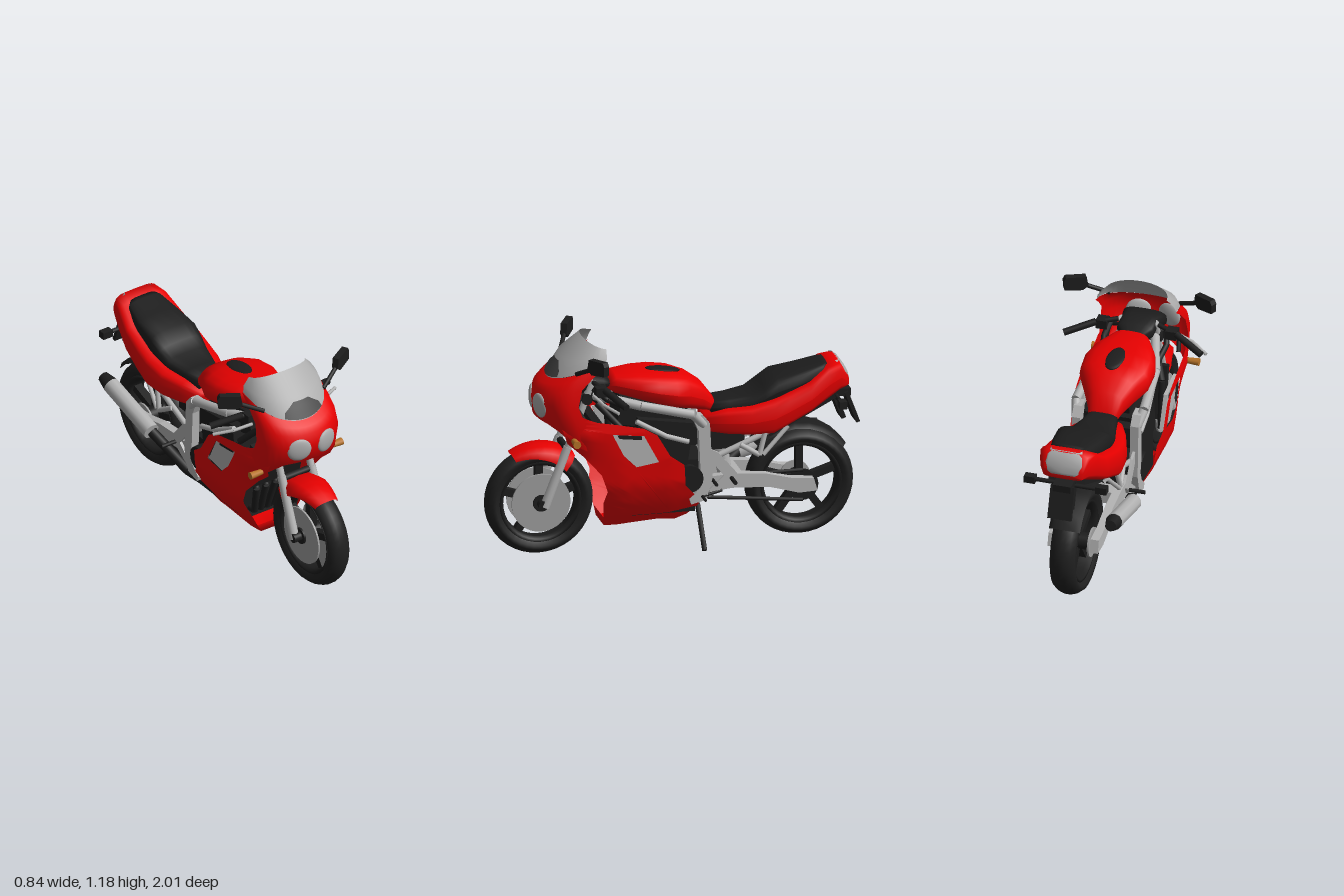
import * as THREE from 'three';
import { mergeVertices } from 'three/addons/utils/BufferGeometryUtils.js';

const mat = (name, color) => Object.assign(new THREE.MeshStandardMaterial({ color, side: THREE.DoubleSide }), { name });
const red = mat('red paint', 0xe60000), black = mat('black plastic', 0x1d1d1d), rubber = mat('tyre rubber', 0x202020);
const silver = mat('silver metal', 0xb4b4b4), glass = mat('screen grey', 0xacacac), steel = mat('disc steel', 0xa0a0a0);
const amber = mat('amber lens', 0xb87428), smoke = mat('smoked grey', 0x484848), lamp = mat('lamp glass', 0xacacac);

const V = (p) => new THREE.Vector3(...p);
const lerpTable = (t, v) => {
  for (let i = 1; i < t.length; i++) if (v <= t[i][0]) {
    const k = Math.max(0, (v - t[i - 1][0]) / (t[i][0] - t[i - 1][0]));
    return t[i - 1][1] + k * (t[i][1] - t[i - 1][1]);
  }
  return t[t.length - 1][1];
};

export function createModel() {
  const model = new THREE.Group();
  const add = (name, geo, material, pos = [0, 0, 0], rot = [0, 0, 0], parent = model) => {
    const m = new THREE.Mesh(geo, material);
    m.name = name;
    m.position.set(...pos);
    m.rotation.set(...rot);
    parent.add(m);
    return m;
  };
  const box = (name, size, material, pos, rot, parent) => add(name, new THREE.BoxGeometry(...size), material, pos, rot, parent);
  // Round bars joined end to end through the given points
  const rods = (name, pts, r, material, r2 = r) => {
    for (let i = 1; i < pts.length; i++) {
      const a = V(pts[i - 1]), b = V(pts[i]), d = b.clone().sub(a);
      const m = add(name, new THREE.CylinderGeometry(r2, r, d.length(), 10), material, a.clone().add(b).multiplyScalar(0.5).toArray());
      m.quaternion.setFromUnitVectors(new THREE.Vector3(0, 1, 0), d.normalize());
    }
  };
  // Upright plate in the z-y plane, t thick, centred on x
  const plate = (name, pts, x, t, material) => add(name, new THREE.ExtrudeGeometry(new THREE.Shape(pts.map(([z, y]) => new THREE.Vector2(-z, y))),
    { depth: t, bevelEnabled: false }), material, [x - t / 2, 0, 0], [0, Math.PI / 2, 0]);
  // Skin over rows of points
  const loft = (rows) => {
    const n = rows[0].length, idx = [];
    for (let i = 0; i < rows.length - 1; i++) for (let j = 0; j < n - 1; j++) {
      const a = i * n + j, b = a + n;
      idx.push(a, a + 1, b, b, a + 1, b + 1);
    }
    const g = new THREE.BufferGeometry();
    g.setAttribute('position', new THREE.Float32BufferAttribute(rows.flat(2), 3));
    g.setIndex(idx);
    g.computeVertexNormals();
    return g;
  };
  // Closed body from stations [z, halfWidth, top, bottom]
  const body = (stations, e = 0.65) => {
    const ring = ([z, w, t, b], k) => Array.from({ length: 21 }, (_, i) => {
      const a = -i / 20 * Math.PI * 2, c = Math.cos(a), s = Math.sin(a);
      return [k * w * Math.sign(c) * Math.abs(c) ** e, (t + b) / 2 + k * (t - b) / 2 * Math.sign(s) * Math.abs(s) ** e, z];
    });
    return loft([ring(stations[0], 0), ...stations.map((s) => ring(s, 1)), ring(stations[stations.length - 1], 0)]);
  };

  // Wheels
  const wheel = (name, z, w) => {
    const g = new THREE.Group();
    g.name = name;
    g.position.set(0, 0.292, z);
    model.add(g);
    const spin = (pts) => new THREE.LatheGeometry(pts.map((p) => new THREE.Vector2(p[0], p[1] * w)), 40).rotateZ(Math.PI / 2);
    add('tyre', spin([[0.215, -0.7], [0.24, -0.95], [0.26, -0.95], [0.28, -0.6], [0.29, -0.2], [0.29, 0.2], [0.28, 0.6], [0.26, 0.95], [0.24, 0.95], [0.215, 0.7]]), rubber, undefined, undefined, g);
    add('rim', spin([[0.195, -0.4], [0.205, -0.75], [0.222, -0.75], [0.222, 0.75], [0.205, 0.75], [0.195, 0.4], [0.195, -0.4]]), black, undefined, undefined, g);
    for (let i = 0; i < 5; i++) {
      const a = i / 5 * Math.PI * 2;
      box('spoke', [0.045, 0.18, 0.04], black, [0, Math.cos(a) * 0.115, Math.sin(a) * 0.115], [a, 0, 0], g);
    }
    const disc = (n, r, t, m, x = 0) => add(n, new THREE.CylinderGeometry(r, r, t, 32).rotateZ(Math.PI / 2), m, [x, 0, 0], undefined, g);
    disc('hub', 0.045, 0.15, black);
    return disc;
  };
  const front = wheel('frontWheel', 0.71, 0.064);
  const rear = wheel('rearWheel', -0.69, 0.072);
  for (const s of [1, -1]) front('brakeDisc', 0.158, 0.01, steel, s * 0.06);
  front('axle', 0.025, 0.24, black);
  rear('sprocket', 0.085, 0.012, black, 0.085);
  rear('rearDisc', 0.08, 0.01, steel, -0.085);
  rear('axle', 0.03, 0.26, black);

  // Front mudguard wrapped over the tyre, deeper towards the back
  add('frontMudguard', loft(Array.from({ length: 9 }, (_, i) => {
    const a = THREE.MathUtils.degToRad(60 + i * 8.3), w = 0.07 + Math.min(i, 4) * 0.008, deep = -0.03 - i * 0.007;
    return [[-1, deep], [-0.95, deep / 3], [-0.6, 0.005], [0, 0.01], [0.6, 0.005], [0.95, deep / 3], [1, deep]].map(([x, dr]) =>
      [x * w, 0.292 + Math.sin(a) * (0.302 + dr), 0.71 + Math.cos(a) * (0.302 + dr)]);
  })), red);

  // Upper cowl and screen: rows [centre y, front z, half width, back z, side rise, span]
  const shell = (rows, off = 0) => loft(rows.map(([y, zf, w, zb, rise, span = 1]) => Array.from({ length: 21 }, (_, i) => {
    const a = (i / 10 - 1) * Math.PI / 2 * span, c = Math.max(0, Math.cos(a));
    return [w * Math.sin(a), y + rise * (1 - c) + off, zb + (zf - zb) * c ** 0.8 + off];
  })));
  add('upperCowl', shell([[0.74, 0.67, 0.222, 0.5, -0.13], [0.765, 0.735, 0.24, 0.49, -0.06], [0.86, 0.745, 0.238, 0.55, 0],
    [0.92, 0.73, 0.23, 0.53, 0.03], [0.95, 0.705, 0.225, 0.46, 0.07], [0.975, 0.67, 0.22, 0.39, 0.1]]), red);
  add('windscreen', shell([[0.975, 0.67, 0.218, 0.4, 0.1], [1.08, 0.6, 0.208, 0.39, 0.03], [1.178, 0.48, 0.17, 0.385, -0.03]]), glass);
  add('screenShade', shell([[0.977, 0.668, 0.218, 0.4, 0.1, 0.36], [1.01, 0.647, 0.215, 0.397, 0.075, 0.33], [1.035, 0.63, 0.213, 0.395, 0.055, 0.24],
    [1.06, 0.613, 0.211, 0.393, 0.04, 0.14]], 0.004), smoke);
  add('dashboard', body([[0.34, 0.06, 0.94, 0.9], [0.38, 0.1, 0.97, 0.89], [0.46, 0.1, 0.985, 0.89], [0.56, 0.12, 0.96, 0.86]]), black);

  // Side fairing: flat outline with a vent, subdivided and bowed outward
  const outline = [[0.64, 0.76], [0.55, 0.81], [0.45, 0.77], [0.34, 0.75], [0.2, 0.72], [0.13, 0.68], [0.06, 0.56], [-0.02, 0.5], [-0.03, 0.38], [-0.1, 0.3], [-0.12, 0.25],
    [-0.06, 0.19], [0, 0.165], [0.1, 0.175], [0.38, 0.15], [0.4, 0.3], [0.385, 0.37], [0.42, 0.47], [0.52, 0.58], [0.6, 0.65]];
  const vent = [[0.37, 0.7], [0.2, 0.68], [0.12, 0.53], [0.24, 0.51], [0.31, 0.58]];
  const widths = [[0.14, 0.095], [0.22, 0.145], [0.3, 0.19], [0.4, 0.232], [0.55, 0.25], [0.7, 0.25], [0.8, 0.238]];
  const sideX = (z, y) => lerpTable(widths, y) - 0.3 * Math.max(0, z - 0.5) - 0.1 * Math.max(0, 0.05 - z)
    - 0.26 * Math.max(0, z - 0.32) * THREE.MathUtils.clamp((0.7 - y) / 0.15, 0, 1);
  const toVec = (pts) => pts.map((p) => new THREE.Vector2(...p));
  const panel = (s) => {
    const shape = new THREE.Shape(toVec(outline));
    shape.holes.push(new THREE.Path(toVec(vent)));
    const flat = new THREE.ShapeGeometry(shape).toNonIndexed().getAttribute('position'), out = [];
    const split = (a, b, c, n) => {
      if (!n) return [a, b, c].forEach((p) => out.push(s * sideX(p.x, p.y), p.y, p.x));
      const [ab, bc, ca] = [[a, b], [b, c], [c, a]].map(([p, q]) => p.clone().lerp(q, 0.5));
      [[a, ab, ca], [ab, b, bc], [ca, bc, c], [ab, bc, ca]].forEach((t) => split(...t, n - 1));
    };
    for (let i = 0; i < flat.count; i += 3) {
      const t = [0, 1, 2].map((k) => new THREE.Vector3().fromBufferAttribute(flat, i + k));
      if (s > 0) t.reverse();
      split(...t, 3);
    }
    const g = new THREE.BufferGeometry();
    g.setAttribute('position', new THREE.Float32BufferAttribute(out, 3));
    const m = mergeVertices(g, 1e-4);
    m.computeVertexNormals();
    return m;
  };
  const pan = (pts) => loft(pts.map(([z, y]) => [-1, 0, 1].map((k) => [k * sideX(z, y), y, z])));
  add('bellyPan', pan([[-0.1, 0.24], [-0.06, 0.192], [0, 0.167], [0.1, 0.177], [0.25, 0.164]]), black);
  add('bellyLip', pan([[0.25, 0.164], [0.38, 0.152], [0.385, 0.2]]), red);

  // Tank, tail and seat
  add('fuelTank', body([[0.34, 0.07, 0.94, 0.88], [0.31, 0.1, 0.972, 0.86], [0.2, 0.165, 0.975, 0.83], [0.1, 0.195, 0.972, 0.8], [0, 0.19, 0.96, 0.77],
    [-0.08, 0.145, 0.935, 0.75], [-0.16, 0.1, 0.88, 0.73], [-0.22, 0.075, 0.8, 0.72]], 0.75), red);
  add('tankPad', new THREE.SphereGeometry(1, 20, 8).scale(0.05, 0.012, 0.095), black, [0.008, 0.961, 0.045], [-0.12, 0, 0]);
  add('tailFairing', body([[-0.17, 0.1, 0.72, 0.62], [-0.28, 0.15, 0.75, 0.605], [-0.4, 0.19, 0.765, 0.6], [-0.52, 0.2, 0.8, 0.6], [-0.6, 0.198, 0.83, 0.64],
    [-0.72, 0.185, 0.875, 0.7], [-0.82, 0.16, 0.945, 0.76], [-0.89, 0.135, 0.96, 0.8], [-0.935, 0.11, 0.88, 0.82]], 0.5), red);
  add('seat', body([[-0.2, 0.08, 0.79, 0.7], [-0.3, 0.1, 0.795, 0.7], [-0.42, 0.13, 0.81, 0.72], [-0.48, 0.14, 0.85, 0.74], [-0.55, 0.146, 0.9, 0.76],
    [-0.68, 0.135, 0.922, 0.8], [-0.8, 0.11, 0.95, 0.85], [-0.825, 0.09, 0.955, 0.87]], 0.6), black);
  add('tailLight', loft([[0.845, -0.938, 0.075], [0.86, -0.942, 0.095], [0.9, -0.932, 0.105], [0.94, -0.912, 0.098], [0.962, -0.885, 0.085]].map(([y, z, w]) =>
    [1, 0.85, 0, -0.85, -1].map((k) => [k * w, y, z + (Math.abs(k) === 1 ? 0.02 : 0)]))), lamp);

  // Rear mudguard and plate holder
  add('rearMudguard', loft(Array.from({ length: 8 }, (_, i) => {
    const a = THREE.MathUtils.degToRad(45 + i * 14);
    return [-0.085, -0.06, 0.06, 0.085].map((x, j) => [x, 0.3 + Math.sin(a) * (j % 3 ? 0.325 : 0.3), -0.67 + Math.cos(a) * (j % 3 ? 0.325 : 0.3)]);
  })), black);
  box('tailUnderside', [0.2, 0.05, 0.4], black, [0, 0.69, -0.68], [0.48, 0, 0]);
  box('plateHolder', [0.13, 0.18, 0.02], black, [0, 0.69, -0.965], [0.36, 0, 0]);
  box('mudFlap', [0.11, 0.15, 0.025], black, [0, 0.7, -0.895], [0.36, 0, 0]);
  box('plateArm', [0.1, 0.04, 0.12], black, [0, 0.77, -0.9]);
  rods('rearSignalBar', [[-0.2, 0.755, -0.88], [0.2, 0.755, -0.88]], 0.012, black);

  // Engine and radiator
  box('crankcase', [0.28, 0.22, 0.34], black, [0, 0.32, 0.07]);
  box('cylinders', [0.3, 0.3, 0.3], black, [0, 0.57, 0.08], [-0.15, 0, 0]);
  box('radiator', [0.34, 0.3, 0.04], black, [0, 0.58, 0.38], [0.25, 0, 0]);
  box('airBox', [0.2, 0.14, 0.36], black, [0, 0.74, 0.12], [-0.2, 0, 0]);
  box('gearbox', [0.26, 0.22, 0.16], black, [0, 0.38, -0.08]);
  box('carburettors', [0.26, 0.1, 0.1], black, [0, 0.62, -0.1]);
  box('battery', [0.16, 0.16, 0.2], black, [0, 0.6, -0.28]);
  rods('rearShock', [[0, 0.62, -0.25], [0, 0.32, -0.3]], 0.04, silver);
  box('swingarmBridge', [0.2, 0.07, 0.08], silver, [0, 0.36, -0.32]);
  for (let i = 0; i < 4; i++) rods('headerPipe', [[-0.09 + i * 0.06, 0.52, 0.25], [-0.09 + i * 0.06, 0.4, 0.34], [-0.06 + i * 0.04, 0.22, 0.28], [-0.06, 0.2, 0]], 0.018, black);

  // Exhaust on one side only
  rods('exhaustPipe', [[-0.08, 0.2, 0], [-0.15, 0.25, -0.2], [-0.225, 0.4, -0.42]], 0.028, black);
  rods('muffler', [[-0.228, 0.4, -0.42], [-0.232, 0.5, -0.78]], 0.046, silver);
  rods('mufflerTip', [[-0.232, 0.5, -0.78], [-0.234, 0.517, -0.85]], 0.045, black, 0.03);

  // Side stand, chain and gear lever
  rods('sideStand', [[0.11, 0.24, -0.12], [0.25, 0.025, -0.125]], 0.014, black);
  rods('chainTop', [[0.09, 0.37, -0.12], [0.09, 0.375, -0.69]], 0.01, black);
  rods('chainBottom', [[0.09, 0.27, -0.12], [0.09, 0.21, -0.69]], 0.01, black);
  rods('gearLever', [[0.16, 0.32, -0.24], [0.18, 0.3, -0.13], [0.25, 0.3, -0.13]], 0.008, black);
  rods('gearLinkage', [[0.15, 0.38, -0.19], [0.25, 0.38, -0.19]], 0.009, black);

  // Mirrored parts
  const mirrorShape = [[0.29, 1.145], [0.4, 1.152], [0.412, 1.13], [0.408, 1.078], [0.31, 1.066], [0.28, 1.09]];
  for (const s of [1, -1]) {
    const P = (...pts) => pts.map(([x, y, z]) => [s * x, y, z]);
    add('sideFairing', panel(s), red);
    plate('ventDuct', [[0.37, 0.71], [0.19, 0.69], [0.11, 0.52], [0.24, 0.5], [0.32, 0.58]], s * 0.222, 0.02, silver);
    plate('ventSlot', [[0.34, 0.69], [0.21, 0.675], [0.21, 0.655], [0.33, 0.67]], s * 0.234, 0.006, black);
    add('headlight', new THREE.SphereGeometry(1, 24, 12).scale(0.067, 0.066, 0.02), lamp, [s * 0.085, 0.838, 0.722], [0.05, s * 0.3, 0]);
    rods('frontSignal', P([0.218, 0.672, 0.57], [0.293, 0.672, 0.57]), 0.016, amber, 0.021);
    rods('mirrorStalk', P([0.19, 1.03, 0.55], [0.3, 1.085, 0.5]), 0.012, black);
    add('mirrorHead', new THREE.ExtrudeGeometry(new THREE.Shape(toVec(mirrorShape.map(([x, y]) => [s * (x - 0.34), y]))), { depth: 0.035, bevelEnabled: false }), black, [s * 0.34, 0, 0.46], [0, s * 0.5, 0]);
    rods('handlebar', P([0.11, 0.95, 0.44], [0.23, 0.93, 0.4]), 0.013, black);
    rods('grip', P([0.22, 0.935, 0.4], [0.375, 0.885, 0.325]), 0.019, black);
    rods('lever', P([0.2, 0.905, 0.46], [0.3, 0.885, 0.43], [0.39, 0.862, 0.37]), 0.009, silver);
    box('handlebarControls', [0.06, 0.05, 0.06], black, [s * 0.19, 0.925, 0.42]);
    rods('cable', P([0.15, 0.93, 0.45], [0.17, 0.87, 0.38], [0.15, 0.82, 0.28]), 0.016, black);
    rods('cowlStay', P([0.08, 0.88, 0.5], [0.19, 0.84, 0.55], [0.2, 0.76, 0.5]), 0.012, black);
    rods('forkLower', P([0.1, 0.28, 0.7], [0.095, 0.6, 0.575]), 0.027, silver, 0.023);
    rods('forkUpper', P([0.095, 0.58, 0.58], [0.09, 0.96, 0.44]), 0.02, silver);
    rods('frameBeam', P([0.09, 0.875, 0.44], [0.165, 0.82, 0.2], [0.185, 0.755, -0.08], [0.165, 0.69, -0.14]), 0.025, silver);
    plate('frameUpright', [[-0.07, 0.755], [-0.13, 0.75], [-0.17, 0.7], [-0.185, 0.4], [-0.15, 0.28], [-0.07, 0.26], [-0.06, 0.29], [-0.11, 0.34], [-0.12, 0.42], [-0.11, 0.66]], s * 0.16, 0.045, silver);
    rods('frameCradle', P([0.1, 0.83, 0.42], [0.17, 0.7, 0.3], [0.17, 0.42, 0.28]), 0.018, black);
    rods('coolantHose', P([0.15, 0.73, 0.22], [0.16, 0.64, 0.06], [0.16, 0.6, -0.06]), 0.014, silver);
    rods('subframe', P([0.14, 0.48, -0.16], [0.14, 0.57, -0.38], [0.13, 0.66, -0.6]), 0.016, silver);
    plate('footrestBracket', [[-0.16, 0.56], [-0.22, 0.53], [-0.32, 0.41], [-0.3, 0.37], [-0.17, 0.29], [-0.17, 0.33], [-0.25, 0.4], [-0.17, 0.5]], s * 0.16, 0.015, silver);
    rods('passengerBracket', P([0.15, 0.64, -0.48], [0.165, 0.5, -0.44], [0.15, 0.56, -0.34]), 0.014, silver);
    rods('passengerStay', P([0.14, 0.64, -0.6], [0.165, 0.5, -0.46]), 0.012, silver);
    plate('swingarm', [[-0.12, 0.385], [-0.3, 0.4], [-0.48, 0.385], [-0.62, 0.35], [-0.74, 0.34], [-0.76, 0.27], [-0.66, 0.265], [-0.5, 0.31], [-0.3, 0.32], [-0.12, 0.3]], s * 0.115, 0.045, silver);
    rods('footrest', P([0.16, 0.385, -0.29], [0.255, 0.385, -0.29]), 0.011, black);
    add('crankCover', new THREE.CylinderGeometry(0.07, 0.075, 0.05, 16).rotateZ(Math.PI / 2), black, [s * 0.16, 0.4, -0.06]);
    box('rearSignal', [0.06, 0.04, 0.04], black, [s * 0.195, 0.755, -0.88]);
  }
  rods('forkClamp', [[-0.12, 0.86, 0.475], [0.12, 0.86, 0.475]], 0.03, black);
  rods('forkBrace', [[-0.095, 0.585, 0.575], [0.095, 0.585, 0.575]], 0.018, black);
  return model;
}
